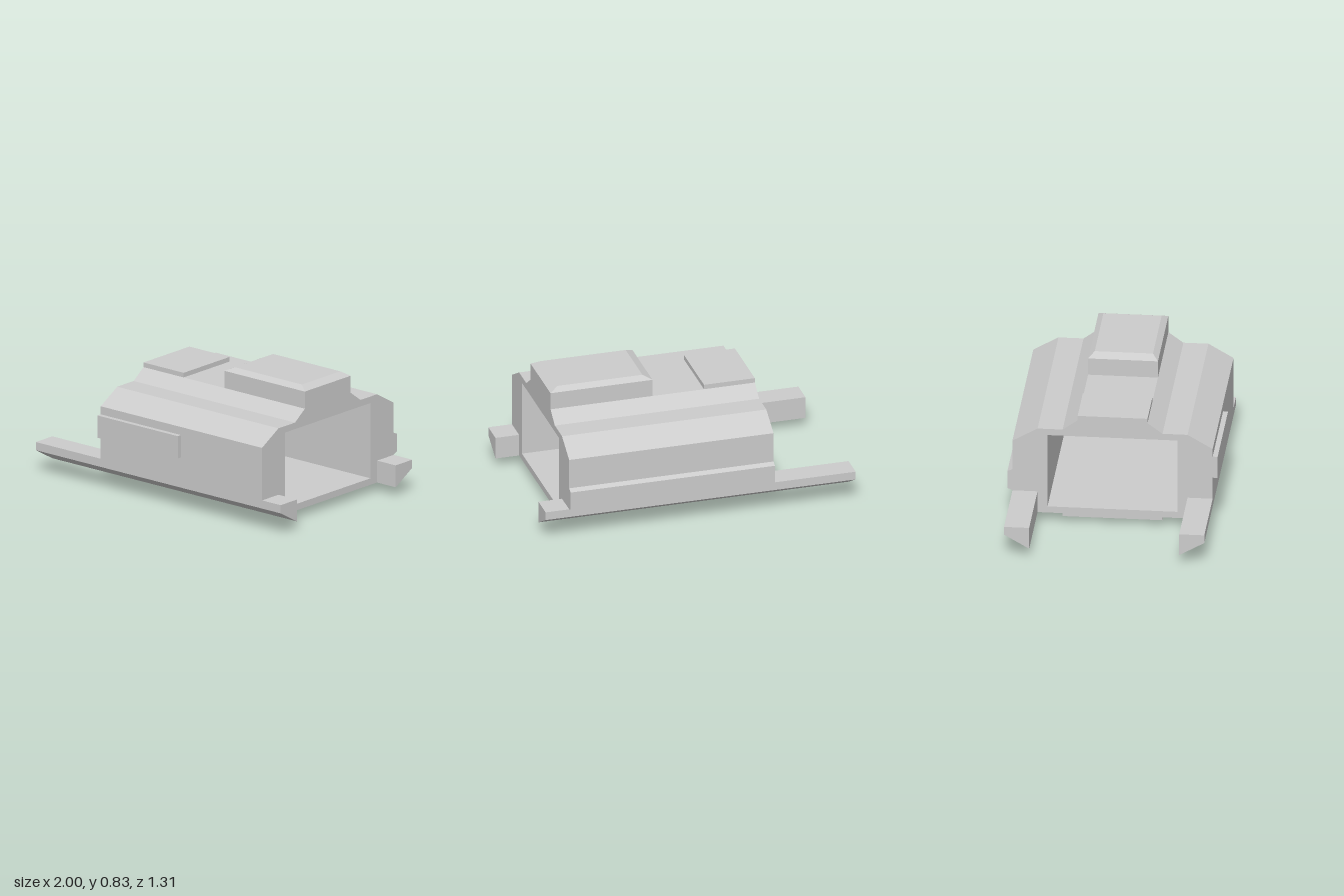
import * as THREE from 'three';

const material = new THREE.MeshStandardMaterial({ color: 0xcccccc, flatShading: true });

const toShape = (points) => new THREE.Shape(points.map(([a, b]) => new THREE.Vector2(a, b)));

// Extrude a [z, y] cross-section along x from x0 to x1
function alongX(points, x0, x1, hole) {
  const shape = toShape(points.map(([z, y]) => [-z, y]));
  if (hole) shape.holes.push(toShape(hole.map(([z, y]) => [-z, y])));
  const geometry = new THREE.ExtrudeGeometry(shape, { depth: x1 - x0, bevelEnabled: false });
  return geometry.rotateY(Math.PI / 2).translate(x0, 0, 0);
}

// Box given by its limits on each axis
function boxBetween(x0, x1, y0, y1, z0, z1, ySegments = 1) {
  return new THREE.BoxGeometry(x1 - x0, y1 - y0, z1 - z0, 1, ySegments, 1)
    .translate((x0 + x1) / 2, (y0 + y1) / 2, (z0 + z1) / 2);
}

export function createModel() {
  const group = new THREE.Group();
  const add = (name, geometry) => {
    const mesh = new THREE.Mesh(geometry, material);
    mesh.name = name;
    group.add(mesh);
  };
  const back = -0.47, front = 0.848, step = 0.187;

  // Hollow housing: half of the outline, mirrored in z; the opening winds the other way
  const half = [[0.466, 0.058], [0.622, 0.147], [0.622, 0.54], [0.466, 0.63], [0.31, 0.63], [0.217, 0.698]];
  const outline = [...half, ...half.map(([z, y]) => [-z, y]).reverse()];
  const opening = [[0.404, 0.1], [-0.404, 0.1], [-0.404, 0.588], [0.404, 0.588]];
  add('housing', alongX(outline, back, front, opening));

  // Long rails along both lower edges
  for (const [name, s] of [['frontRail', 1], ['backRail', -1]]) {
    const section = [[0.466, 0.058], [0.622, 0.147], [0.622, 0.2], [0.466, 0.2]];
    add(name, alongX(section.map(([z, y]) => [s * z, y]), -1, 1));
  }

  // Raised top block with a chamfered upper rim
  const block = boxBetween(0.19, front, 0.69, 0.835, -0.217, 0.217, 2);
  const p = block.attributes.position;
  const middle = (0.19 + front) / 2;
  for (let i = 0; i < p.count; i++) {
    if (p.getY(i) > 0.83) {
      p.setX(i, middle + Math.sign(p.getX(i) - middle) * 0.274);
      p.setZ(i, Math.sign(p.getZ(i)) * 0.181);
    } else if (p.getY(i) > 0.75) p.setY(i, 0.809);
  }
  block.computeVertexNormals();
  add('topBlock', block);

  // Low plate on the roof and panel on the front wall
  add('roofPlate', boxBetween(back, -0.142, 0.69, 0.728, -0.217, 0.217));
  add('sidePanel', boxBetween(back, step, 0.344, 0.488, 0.61, 0.653));

  // Chamfered ridge along the back wall
  add('backRidge', alongX([[-0.61, 0.2], [-0.622, 0.2], [-0.653, 0.215], [-0.653, 0.33],
    [-0.622, 0.345], [-0.61, 0.345]], back, front));

  // Wedge-shaped plate beneath the floor
  const wedge = toShape([[back, 0.07], [back, 0.038], [-0.14, 0.038], [step, 0], [step, 0.07]]);
  add('floorWedge', new THREE.ExtrudeGeometry(wedge, { depth: 0.622, bevelEnabled: false })
    .translate(0, 0, -0.311));

  return group;
}
